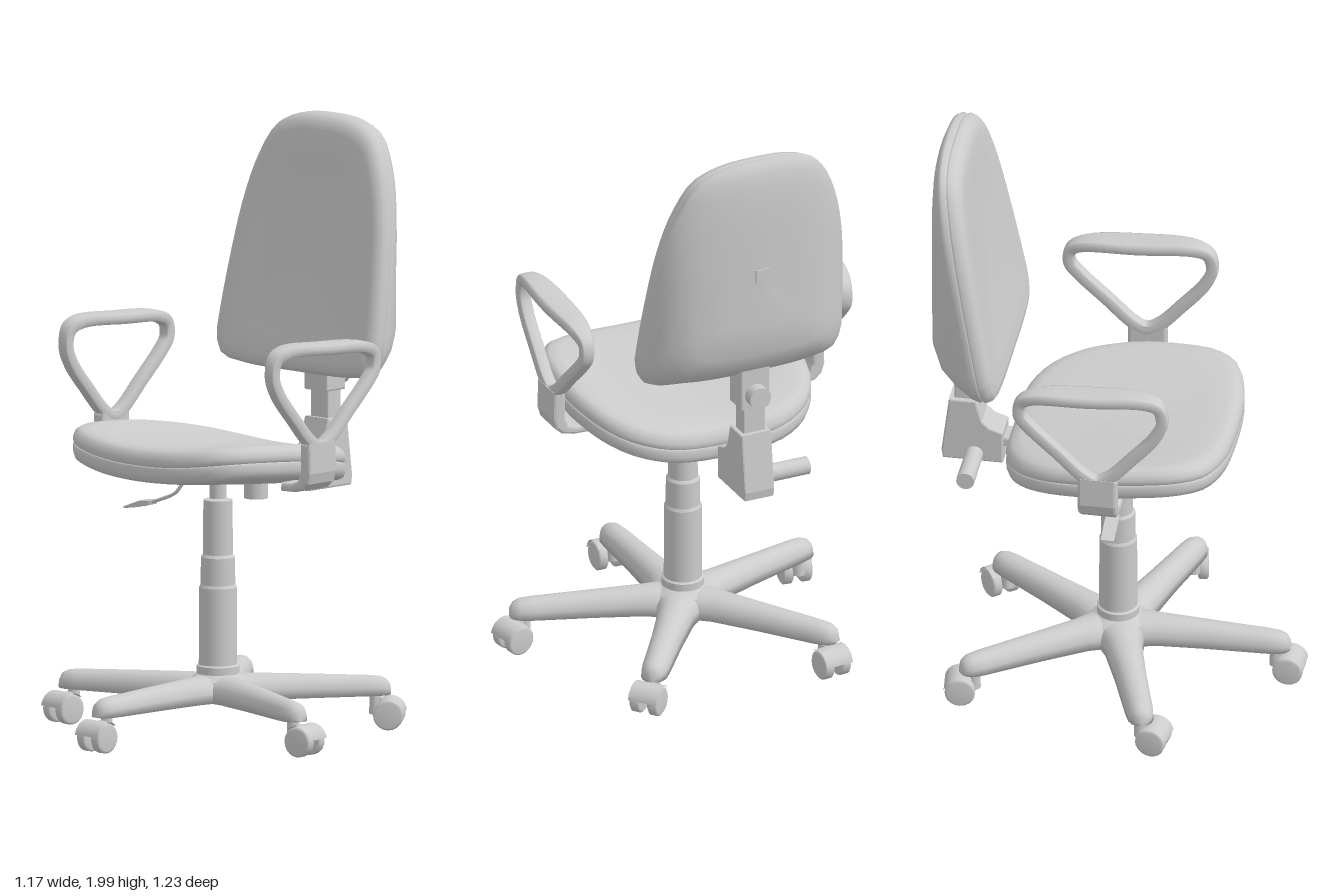
import * as THREE from 'three';

const V2 = (x, y) => new THREE.Vector2(x, y);
const V3 = (x, y, z) => new THREE.Vector3(x, y, z);
const { lerp, smoothstep } = THREE.MathUtils;
const CX = -0.025, CZ = -0.01; // axis of the gas column
const grey = new THREE.MeshStandardMaterial({ color: 0xcccccc });
const thin = new THREE.MeshStandardMaterial({ color: 0xcccccc, side: THREE.DoubleSide });

function add(parent, name, geometry, x = 0, y = 0, z = 0, material = grey) {
  const mesh = new THREE.Mesh(geometry, material);
  mesh.name = name;
  mesh.position.set(x, y, z);
  parent.add(mesh);
  return mesh;
}

// Skin a list of equal rings; winding is turned outward by signed volume
function loft(rings, closed = false) {
  const n = rings[0].length, points = rings.flat(), index = [];
  const last = closed ? rings.length : rings.length - 1;
  for (let i = 0; i < last; i++) {
    for (let j = 0; j < n; j++) {
      const k = (j + 1) % n, r = i * n, s = ((i + 1) % rings.length) * n;
      index.push(r + j, s + j, r + k, r + k, s + j, s + k);
    }
  }
  const centre = points.reduce((c, p) => c.add(p), V3(0, 0, 0)).divideScalar(points.length);
  let volume = 0;
  for (let i = 0; i < index.length; i += 3) {
    const [a, b, c] = [0, 1, 2].map((k) => points[index[i + k]].clone().sub(centre));
    volume += a.dot(b.cross(c));
  }
  if (volume < 0) index.reverse();
  const g = new THREE.BufferGeometry().setFromPoints(points);
  g.setIndex(index);
  g.computeVertexNormals();
  return g;
}

// Smooth symmetric outline from a half outline that starts and ends on the axis
function mirroredOutline(half, count) {
  const all = [...half, ...half.slice(1, -1).reverse().map(([x, y]) => [-x, y])];
  const curve = new THREE.CatmullRomCurve3(all.map(([x, y]) => V3(x, y, 0)), true, 'centripetal');
  return curve.getSpacedPoints(count).slice(0, count);
}

// Polygon extruded symmetrically along z
function slab(points, depth, bevel = 0.006) {
  const g = new THREE.ExtrudeGeometry(new THREE.Shape(points.map(([x, y]) => V2(x, y))), {
    depth: depth - 2 * bevel, bevelSize: bevel, bevelOffset: -bevel, bevelThickness: bevel, bevelSegments: 2,
  });
  return g.translate(0, 0, -depth / 2 + bevel);
}

function buildSeat(chair) {
  const outline = mirroredOutline([[0, 0.387], [0.2, 0.375], [0.33, 0.33], [0.387, 0.25], [0.412, 0.12], [0.418, 0],
    [0.405, -0.1], [0.375, -0.2], [0.31, -0.29], [0.2, -0.347], [0, -0.358]], 64);
  // saddle: sides rise, front rises
  const ring = ([s, y]) => outline.map((p) => {
    const x = p.x * s, z = p.y * s;
    return V3(CX + x, y + 0.095 * z + 0.3 * x * x, z);
  });
  const cushion = [[0, 0.963], [0.4, 0.964], [0.7, 0.966], [0.87, 0.965], [0.945, 0.957], [0.985, 0.942], [1, 0.922], [1, 0.908], [0.985, 0.902]];
  const pan = [[0.985, 0.902], [1, 0.896], [1, 0.872], [0.985, 0.855], [0.95, 0.848], [0.85, 0.845], [0.7, 0.843], [0.4, 0.842], [0, 0.842]];
  add(chair, 'seatCushion', loft(cushion.map(ring)), 0, 0, 0, thin);
  add(chair, 'seatPan', loft(pan.map(ring)), 0, 0, 0, thin);
}

function buildBackrest(chair) {
  const midY = 1.58;
  const outline = mirroredOutline([[0, 2], [0.13, 1.99], [0.22, 1.95], [0.285, 1.84], [0.325, 1.7], [0.352, 1.5],
    [0.367, 1.3], [0.366, 1.24], [0.335, 1.185], [0.25, 1.167], [0, 1.162]], 64);
  const frontZ = (y) => -0.352 - (y - 1.2) * 0.19;
  const seamZ = (y) => frontZ(y) - 0.05;
  // rear face bows forward at the sides and stays full towards the top
  const rearZ = (x, y, b) => lerp(seamZ(y), -0.612 + 0.4 * x * x, b ** lerp(1, 0.35, smoothstep(y, 1.3, 1.95)));
  const ring = (s, depth) => outline.map((p) => {
    const x = p.x * s, y = midY + (p.y - midY) * s;
    return V3(CX - 0.005 + x, y, depth(x, y));
  });
  const front = [[0, 0.014], [0.4, 0.012], [0.7, 0.005], [0.88, 0.001], [0.95, 0.008], [0.985, 0.022], [1, 0.042], [0.988, 0.05]];
  const back = [[0.988, 0], [1, 0.04], [0.985, 0.2], [0.91, 0.52], [0.81, 0.8], [0.65, 0.97], [0.4, 1], [0, 1]];
  add(chair, 'backrestCushion', loft(front.map(([s, d]) => ring(s, (x, y) => frontZ(y) - d))), 0, 0, 0, thin);
  add(chair, 'backrestShell', loft(back.map(([s, b]) => ring(s, (x, y) => rearZ(x, y, b)))), 0, 0, 0, thin);
  add(chair, 'backrestPlug', new THREE.BoxGeometry(0.05, 0.045, 0.02), CX, 1.6, -0.606);
}

function buildArmrest(chair, side) {
  const arm = new THREE.Group();
  arm.name = side > 0 ? 'leftArmrest' : 'rightArmrest';
  arm.position.x = CX;
  chair.add(arm);
  // loop: a band swept round a rounded triangle, widening to a pad on top
  const path = new THREE.CatmullRomCurve3([[0.16, 1.338], [-0.02, 1.332], [-0.21, 1.315], [-0.252, 1.288], [-0.255, 1.24],
    [-0.225, 1.2], [-0.13, 1.11], [-0.045, 1.03], [0, 1.008], [0.045, 1.03], [0.12, 1.11], [0.195, 1.2], [0.22, 1.26], [0.207, 1.318]]
    .map(([z, y]) => V3(0, y, z)), true, 'centripetal');
  const rings = [];
  for (let i = 0; i < 84; i++) {
    const p = path.getPoint(i / 84), t = path.getTangent(i / 84), normal = V3(0, -t.z, t.y);
    const lens = 0.048 * Math.sqrt(Math.max(0, 1 - ((p.z + 0.02) / 0.27) ** 2));
    const w = lerp(0.022, Math.max(0.022, lens), smoothstep(p.y, 1.25, 1.31));
    rings.push(Array.from({ length: 12 }, (_, j) => {
      const a = (j / 12) * Math.PI * 2, soft = (v) => Math.sign(v) * Math.abs(v) ** 0.45;
      return p.clone().addScaledVector(normal, 0.02 * soft(Math.sin(a))).add(V3(side * 0.47 + w * soft(Math.cos(a)), 0, 0));
    }));
  }
  add(arm, 'armLoop', loft(rings, true), 0, 0, 0, thin);
  // hooked stem that runs in under the seat
  const stem = [[0.493, 1.025], [0.495, 0.925], [0.485, 0.89], [0.46, 0.868], [0.42, 0.858], [0.36, 0.856],
    [0.36, 0.885], [0.41, 0.887], [0.437, 0.897], [0.449, 0.925], [0.449, 1.025]];
  add(arm, 'armStem', slab(stem.map(([x, y]) => [side * x, y]), 0.13, 0.01), 0, 0, 0.005);
}

function buildMechanism(chair) {
  const sideways = (name, points, width) => {
    add(chair, name, slab(points.map(([z, y]) => [-z, y]), width), CX, 0, 0).rotation.y = Math.PI / 2;
  };
  sideways('backArm', [[-0.2, 0.86], [-0.2, 0.828], [-0.4, 0.828], [-0.4, 0.86]], 0.08);
  sideways('backBracket', [[-0.385, 0.77], [-0.585, 0.77], [-0.59, 0.8], [-0.565, 1], [-0.475, 1], [-0.455, 0.925],
    [-0.43, 0.9], [-0.385, 0.885]], 0.11);
  sideways('backPost', [[-0.487, 0.97], [-0.55, 0.97], [-0.55, 1.12], [-0.487, 1.12]], 0.08);
  sideways('backSlider', [[-0.47, 1.09], [-0.558, 1.09], [-0.558, 1.25], [-0.47, 1.25]], 0.105);
  add(chair, 'heightKnob', new THREE.CylinderGeometry(0.038, 0.038, 0.05, 20), CX, 1.14, -0.572).rotation.x = Math.PI / 2;
  add(chair, 'tiltKnob', new THREE.CylinderGeometry(0.03, 0.03, 0.19, 20), -0.155, 0.797, -0.48).rotation.z = Math.PI / 2;
  add(chair, 'tensionKnob', new THREE.CylinderGeometry(0.04, 0.04, 0.07, 20), CX, 0.8, -0.19);
  // lift lever with paddle
  const rod = new THREE.CatmullRomCurve3([V3(-0.14, 0.86, 0), V3(-0.17, 0.825, 0), V3(-0.2, 0.785, 0.01), V3(-0.25, 0.762, 0.015), V3(-0.31, 0.742, 0.02)]);
  add(chair, 'leverRod', new THREE.TubeGeometry(rod, 20, 0.006, 8));
  const paddle = [[-0.29, 0.752], [-0.33, 0.75], [-0.405, 0.722], [-0.405, 0.715], [-0.34, 0.726], [-0.295, 0.738]];
  add(chair, 'leverPaddle', slab(paddle, 0.045, 0.002), 0, 0, 0.02);
}

function buildBase(chair) {
  // telescopic column with hub collar
  const profile = [[0, 0.12], [0.1, 0.12], [0.1, 0.185], [0.07, 0.205], [0.07, 0.23], [0.063, 0.235], [0.062, 0.49],
    [0.057, 0.5], [0.056, 0.59], [0.049, 0.6], [0.048, 0.78], [0.028, 0.785], [0.028, 0.85], [0, 0.85]];
  const points = profile.flatMap(([x, y]) => [V2(x, y), V2(x, y)]); // doubled for crisp steps
  add(chair, 'column', new THREE.LatheGeometry(points, 32), CX, 0, CZ);

  // five legs: domed cross-section, flat below, round tip: [distance, half width, top]
  const sections = [[0, 0.09, 0.205], [0.07, 0.08, 0.203], [0.14, 0.062, 0.201], [0.3, 0.052, 0.194], [0.5, 0.046, 0.184],
    [0.54, 0.042, 0.18], [0.562, 0.032, 0.17], [0.573, 0.017, 0.152], [0.575, 0, 0.12]];
  const rings = sections.map(([z, w, top]) => Array.from({ length: 13 }, (_, j) => {
    const a = (j / 12) * Math.PI;
    return V3(w * Math.cos(a), 0.12 + (top - 0.12) * Math.sin(a) ** 0.7, z);
  }));
  const yaws = [0, 1.75, 2.25, Math.PI + 0.12, -0.12];
  yaws.forEach((yaw, i) => {
    const angle = (i * Math.PI * 2) / 5;
    add(chair, 'baseLeg', loft(rings), CX, 0, CZ, thin).rotation.y = angle;
    buildCaster(chair, CX + 0.525 * Math.sin(angle), CZ + 0.525 * Math.cos(angle), yaw);
  });
}

// Twin-wheel caster trailing along its own +z
function buildCaster(chair, x, z, yaw) {
  const caster = new THREE.Group();
  caster.name = 'caster';
  caster.position.set(x, 0, z);
  caster.rotation.y = yaw;
  chair.add(caster);
  add(caster, 'casterStem', new THREE.CylinderGeometry(0.018, 0.022, 0.09, 12), 0, 0.1, 0);
  add(caster, 'casterFork', new THREE.BoxGeometry(0.03, 0.055, 0.07), 0, 0.08, 0.025);
  const tread = [[0, -0.018], [0.042, -0.018], [0.05, -0.012], [0.05, 0.012], [0.042, 0.018], [0, 0.018]].map(([r, y]) => V2(r, y));
  for (const s of [-1, 1]) {
    add(caster, 'casterWheel', new THREE.LatheGeometry(tread, 20), s * 0.032, 0.056, 0.045).rotation.z = Math.PI / 2;
  }
  const hood = new THREE.CylinderGeometry(0.054, 0.054, 0.1, 14, 1, true, -0.4, Math.PI * 0.7);
  add(caster, 'casterHood', hood, 0, 0.056, 0.045, thin).rotation.set(-0.55, 0, Math.PI / 2);
  add(caster, 'casterAxle', new THREE.CylinderGeometry(0.012, 0.012, 0.08, 10), 0, 0.056, 0.045).rotation.z = Math.PI / 2;
}

export function createModel() {
  const chair = new THREE.Group();
  chair.name = 'officeChair';
  buildBase(chair);
  buildMechanism(chair);
  buildSeat(chair);
  buildBackrest(chair);
  for (const side of [-1, 1]) buildArmrest(chair, side);
  return chair;
}
